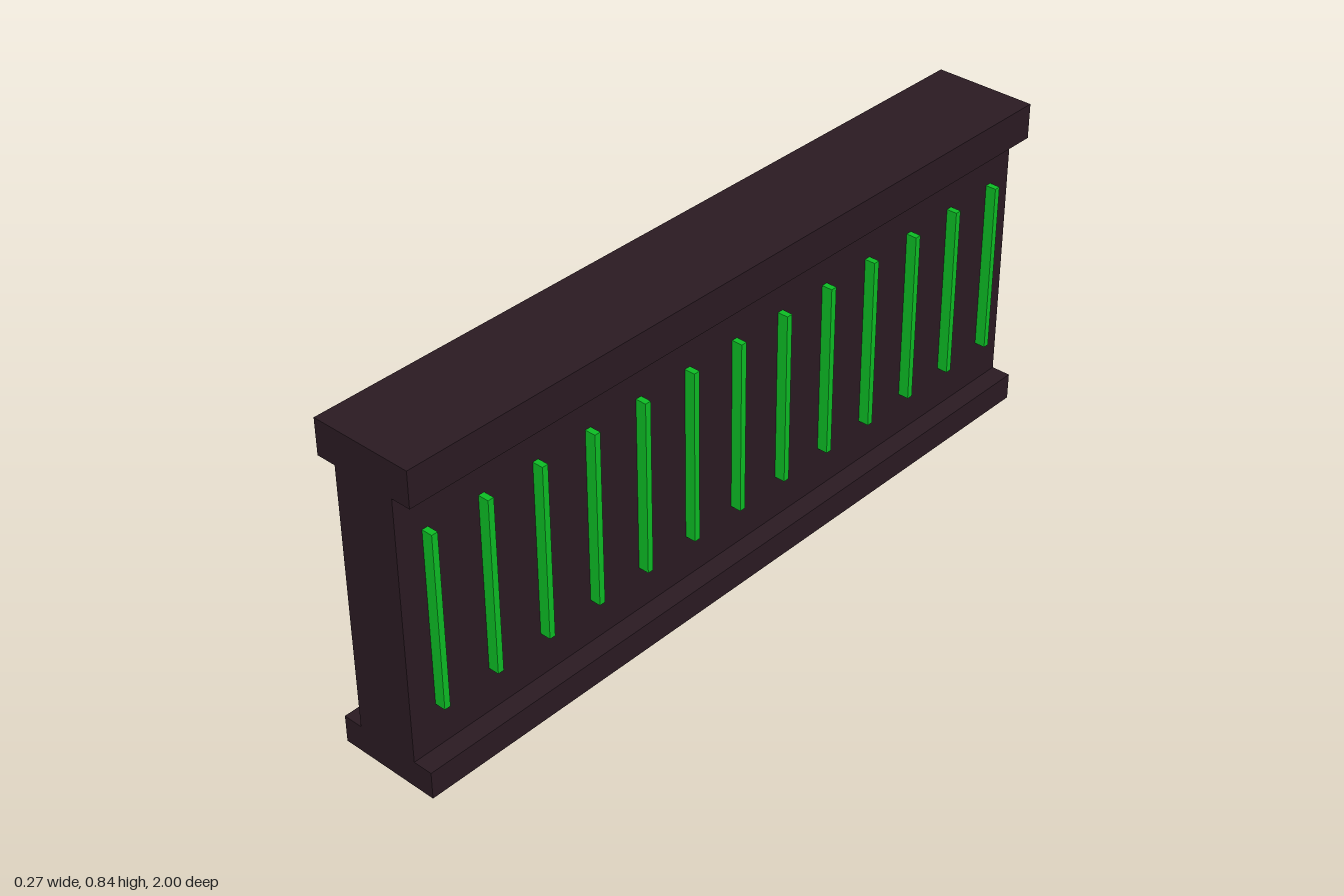
import * as THREE from 'three';

export function createModel() {
  const group = new THREE.Group();
  const dark = new THREE.MeshStandardMaterial({ color: 0x2a1a22 });
  const green = new THREE.MeshStandardMaterial({ color: 0x0cbc24 });

  // Wall with a wider base and cap: one I-shaped section run along z
  const half = [[0.134, 0], [0.134, 0.07], [0.083, 0.07], [0.083, 0.752], [0.134, 0.752], [0.134, 0.843]];
  const outline = [...half, ...half.map(([x, y]) => [-x, y]).reverse()];
  const section = new THREE.Shape(outline.map(([x, y]) => new THREE.Vector2(x, y)));
  const wallGeometry = new THREE.ExtrudeGeometry(section, { depth: 2, bevelEnabled: false });
  wallGeometry.translate(0, 0, -1);
  const wall = new THREE.Mesh(wallGeometry, dark);
  wall.name = 'wall';
  group.add(wall);

  // Upright light strips, evenly spaced along both sides
  const count = 13, spacing = 0.1537;
  const stripGeometry = new THREE.BoxGeometry(0.029, 0.453, 0.016);
  for (const side of [-1, 1]) {
    const strips = new THREE.Group();
    strips.name = side > 0 ? 'leftLightStrips' : 'rightLightStrips';
    for (let i = 0; i < count; i++) {
      const strip = new THREE.Mesh(stripGeometry, green);
      strip.name = 'lightStrip';
      strip.position.set(side * 0.0965, 0.4115, (i - (count - 1) / 2) * spacing);
      strips.add(strip);
    }
    group.add(strips);
  }
  return group;
}
